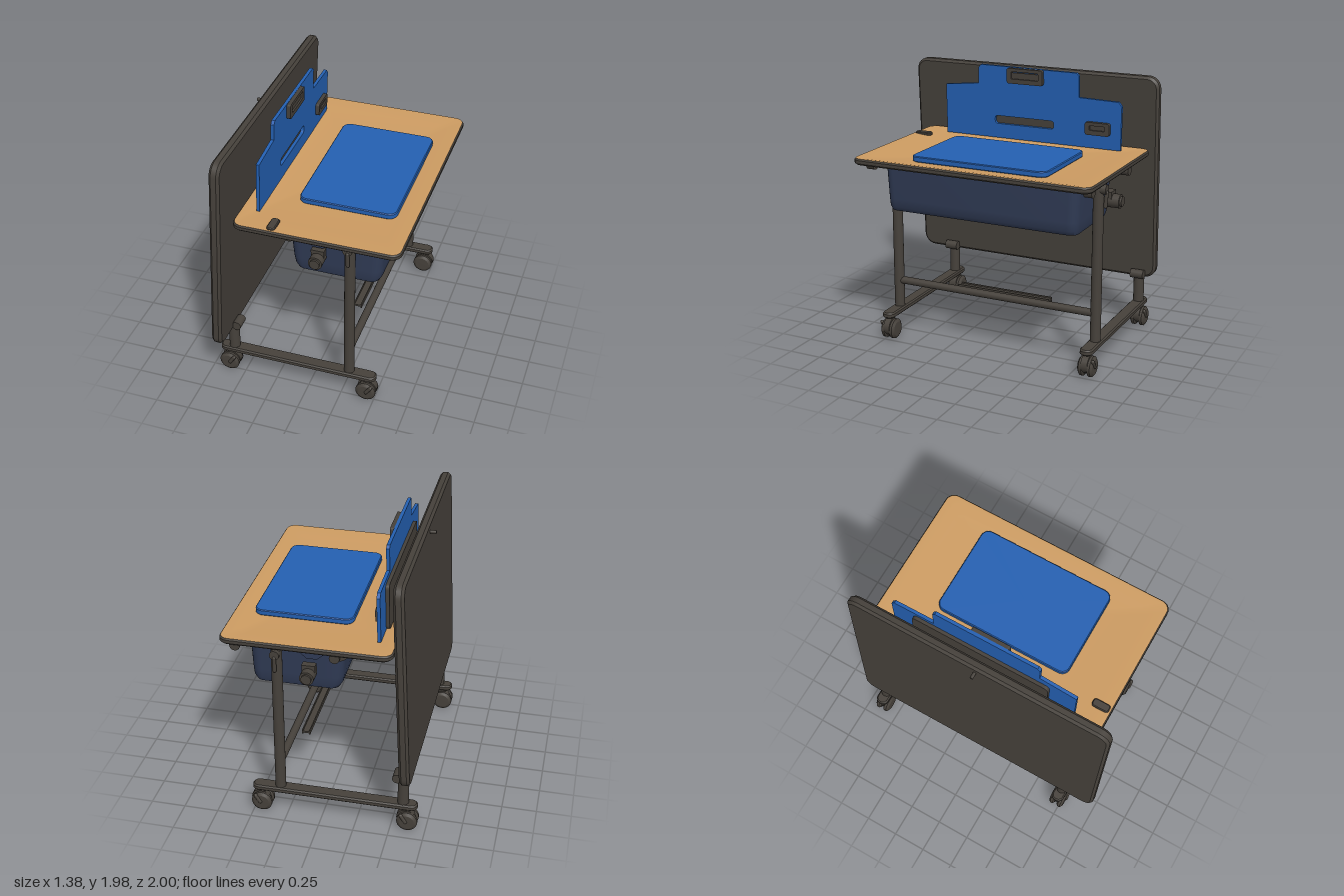
import * as THREE from 'three';
import { toCreasedNormals } from 'three/addons/utils/BufferGeometryUtils.js';

const mat = (name, color, side = THREE.FrontSide) => {
  const m = new THREE.MeshStandardMaterial({ color, side });
  m.name = name;
  return m;
};

// Stack of rounded rectangles [y, x0, x1, z0, z1, radius], joined into a skin
function loft(rings, capBottom = true, capTop = true, crease = 0.6) {
  const seg = 6, pos = [], idx = [], n = 4 * (seg + 1);
  for (const [y, x0, x1, z0, z1, r] of rings) {
    const corners = [[x1 - r, z0 + r], [x0 + r, z0 + r], [x0 + r, z1 - r], [x1 - r, z1 - r]];
    corners.forEach(([cx, cz], c) => {
      for (let i = 0; i <= seg; i++) {
        const a = (c + i / seg) * Math.PI / 2;
        pos.push(cx + r * Math.cos(a), y, cz - r * Math.sin(a));
      }
    });
  }
  for (let k = 0; k < rings.length - 1; k++) {
    for (let i = 0; i < n; i++) {
      const a = k * n + i, b = k * n + (i + 1) % n;
      idx.push(a, b, b + n, a, b + n, a + n);
    }
  }
  const cap = (k, up) => {
    const [y, x0, x1, z0, z1] = rings[k], c = pos.length / 3;
    pos.push((x0 + x1) / 2, y, (z0 + z1) / 2);
    for (let i = 0; i < n; i++) {
      const a = k * n + i, b = k * n + (i + 1) % n;
      if (up) idx.push(c, a, b); else idx.push(c, b, a);
    }
  };
  if (capBottom) cap(0, false);
  if (capTop) cap(rings.length - 1, true);
  const g = new THREE.BufferGeometry();
  g.setAttribute('position', new THREE.Float32BufferAttribute(pos, 3));
  g.setIndex(idx);
  return toCreasedNormals(g, crease);
}

// Flat slab with softened edges
const slab = (y0, y1, x0, x1, z0, z1, r, e) => loft([
  [y0, x0 + e, x1 - e, z0 + e, z1 - e, r - e], [y0 + e, x0, x1, z0, z1, r],
  [y1 - e, x0, x1, z0, z1, r], [y1, x0 + e, x1 - e, z0 + e, z1 - e, r - e]]);

const roundRect = (path, x0, x1, y0, y1, r) => {
  path.moveTo(x0 + r, y0);
  path.lineTo(x1 - r, y0); path.quadraticCurveTo(x1, y0, x1, y0 + r);
  path.lineTo(x1, y1 - r); path.quadraticCurveTo(x1, y1, x1 - r, y1);
  path.lineTo(x0 + r, y1); path.quadraticCurveTo(x0, y1, x0, y1 - r);
  path.lineTo(x0, y0 + r); path.quadraticCurveTo(x0, y0, x0 + r, y0);
  return path;
};

// Outline drawn in (-z, y), thickened toward +x
const plate = (shape, depth) =>
  new THREE.ExtrudeGeometry(shape, { depth, bevelEnabled: false }).rotateY(Math.PI / 2);

export function createModel() {
  const dark = mat('dark metal', 0x46413b);
  const wood = mat('tan wood', 0xcd9c62);
  const blue = mat('blue', 0x2460b2);
  const navy = mat('navy bin', 0x303b55);
  const model = new THREE.Group();
  const add = (name, geo, material, x = 0, y = 0, z = 0, parent = model) => {
    const m = new THREE.Mesh(geo, material);
    m.name = name;
    m.position.set(x, y, z);
    parent.add(m);
    return m;
  };
  const group = (name, x = 0, y = 0, z = 0) => {
    const g = new THREE.Group();
    g.name = name;
    g.position.set(x, y, z);
    model.add(g);
    return g;
  };
  const tube = (r, len, axis = 'y', sides = 20) => {
    const g = new THREE.CylinderGeometry(r, r, len, sides);
    return axis === 'z' ? g.rotateX(Math.PI / 2) : axis === 'x' ? g.rotateZ(Math.PI / 2) : g;
  };

  // Tilted privacy panel
  const panel = add('backPanel', slab(-0.037, 0.037, -0.78, 0.78, -1, 1, 0.09, 0.018), dark, -0.573, 1.188, 0);
  panel.rotation.z = Math.PI / 2 - 0.048;
  add('panelHook', tube(0.012, 0.05, 'x'), dark, -0.595, 1.905, 0);

  // Table top: dark edge with a shallow dished wooden surface
  const T = [-0.5, 0.69, -0.96, 0.87];
  const inset = (y, d, r) => [y, T[0] + d, T[1] - d, T[2] + d, T[3] - d, r];
  add('tableEdge', loft([inset(1.39, 0.012, 0.06), inset(1.402, 0, 0.07), inset(1.425, 0, 0.07),
    inset(1.436, 0.008, 0.065)], true, false), dark);
  add('tableSurface', loft([inset(1.436, 0.008, 0.065), inset(1.437, 0.03, 0.06),
    [1.424, -0.42, 0.57, -0.83, 0.72, 0.05]], false, true, 0.3), wood);
  add('deskMat', slab(1.424, 1.466, -0.155, 0.545, -0.58, 0.47, 0.06, 0.006), blue);
  add('tableClip', slab(1.425, 1.45, -0.25, -0.19, 0.72, 0.85, 0.02, 0.006), dark);

  // Storage bin under the table
  add('storageBin', loft([
    [1.02, -0.07, 0.46, -0.75, 0.65, 0.04], [1.028, -0.1, 0.49, -0.78, 0.68, 0.06],
    [1.06, -0.12, 0.508, -0.79, 0.69, 0.07], [1.12, -0.13, 0.513, -0.793, 0.693, 0.07],
    [1.392, -0.147, 0.522, -0.805, 0.705, 0.07]], true, true, 0.9), navy);

  // Standing blue folder
  const folder = group('folder', -0.39, 1.43, 0);
  folder.rotation.z = -0.03;
  const outline = new THREE.Shape([[-0.66, 0], [0.77, 0], [0.775, 0.33], [0.75, 0.362], [0.44, 0.37],
    [0.44, 0.53], [0.42, 0.55], [-0.36, 0.555], [-0.38, 0.53], [-0.38, 0.41], [-0.66, 0.38]]
    .map(p => new THREE.Vector2(...p)));
  outline.holes.push(roundRect(new THREE.Path(), -0.245, 0.24, 0.11, 0.172, 0.025));
  add('folderFront', plate(outline, 0.024), blue, 0, 0, 0, folder);
  add('folderBack', plate(roundRect(new THREE.Shape(), -0.46, 0.6, 0, 0.34, 0.04), 0.025), dark, -0.026, 0, 0, folder);
  const buckle = (name, u0, u1, y0, y1) => {
    const s = roundRect(new THREE.Shape(), u0, u1, y0, y1, 0.018);
    s.holes.push(roundRect(new THREE.Path(), u0 + 0.035, u1 - 0.035, y0 + 0.035, y1 - 0.025, 0.008));
    add(name, plate(s, 0.03), dark, 0.023, 0, 0, folder);
    add(name + 'Bar', new THREE.BoxGeometry(0.016, (y1 - y0) * 0.4, u1 - u0 - 0.04), dark,
      0.032, (y0 + y1) / 2, -(u0 + u1) / 2, folder);
  };
  buckle('topBuckle', -0.13, 0.16, 0.435, 0.55);
  buckle('sideBuckle', 0.5, 0.69, 0.105, 0.2);

  // Under-frame cross bars
  add('crossBar', tube(0.028, 1.59, 'z'), dark, 0.305, 0.42, -0.075);
  for (const s of [-1, 1]) {
    add('railFlange', new THREE.BoxGeometry(0.008, 0.034, 0.73), dark, 0.217 + s * 0.027, 0.42, -0.115);
  }
  add('railWeb', new THREE.BoxGeometry(0.05, 0.014, 0.73), dark, 0.217, 0.42, -0.115);

  // One side frame at each end; s points outward
  const bracket = new THREE.Shape([[-0.22, 1.395], [-0.07, 1.395], [-0.08, 1.35], [-0.12, 1.33], [-0.17, 1.35]]
    .map(p => new THREE.Vector2(...p)));
  const apron = new THREE.Shape([[-0.05, 1.395], [0.21, 1.395], [0.17, 1.32], [0.11, 1.27], [0.04, 1.27], [-0.02, 1.32]]
    .map(p => new THREE.Vector2(...p)));
  for (const [z, s, label] of [[0.725, 1, 'front'], [-0.87, -1, 'rear']]) {
    const f = group(label + 'SideFrame', 0, 0, z);
    add('footBar', slab(0.172, 0.215, -0.69, 0.51, -0.048, 0.048, 0.045, 0.01), dark, 0, 0, 0, f);
    add('leg', tube(0.038, 1.19), dark, 0.305, 0.795, 0, f);
    add('panelPost', tube(0.04, 0.24), dark, -0.585, 0.325, 0, f);
    add('panelKnob', tube(0.034, 0.1, 'z'), dark, -0.545, 0.44, 0, f);
    add('panelClamp', new THREE.BoxGeometry(0.08, 0.06, 0.07), dark, -0.585, 0.435, 0, f);

    // Height lever at the top of the leg
    add('leverHub', tube(0.034, 0.1, 'z'), dark, 0.305, 1.33, s * 0.012, f);
    const lever = add('lever', new THREE.CapsuleGeometry(0.014, 0.1, 4, 10), dark, 0.306, 1.26, s * 0.055, f);
    lever.rotation.x = s * 0.06;

    // Table brackets and pivots
    for (const [x, y] of [[-0.11, 1.365], [0.575, 1.378]]) {
      add('tablePivot', tube(0.036, 0.06, 'z'), dark, x, y, s * 0.04, f);
    }
    add('tableBracket', new THREE.ExtrudeGeometry(bracket, { depth: 0.02, bevelEnabled: false }), dark, 0, 0, s * 0.04 - 0.01, f);
    add('legBracket', new THREE.BoxGeometry(0.24, 0.025, 0.08), dark, 0.35, 1.38, 0, f);

    // Bin hanger with knob
    const inner = s > 0 ? -0.02 : 0.05;
    add('binApron', new THREE.ExtrudeGeometry(apron, { depth: 0.02, bevelEnabled: false }), navy, 0, 0, inner, f);
    add('binKnob', tube(0.05, 0.1, 'z'), dark, 0.08, 1.19, s * 0.03, f);
    add('binKnobTop', new THREE.BoxGeometry(0.094, 0.07, 0.05), dark, 0.08, 1.225, s * 0.0, f);
    add('binKnobCap', tube(0.036, 0.02, 'z'), dark, 0.08, 1.19, s * 0.085, f);

    // Twin-wheel casters
    for (const x of [-0.62, 0.44]) {
      for (const side of [-1, 1]) {
        const profile = [[0, -0.022], [0.06, -0.022], [0.075, -0.01], [0.075, 0.01], [0.055, 0.024], [0, 0.026]]
          .map(p => new THREE.Vector2(...p));
        const wheel = new THREE.LatheGeometry(profile, 24).rotateX(side * Math.PI / 2);
        add('casterWheel', toCreasedNormals(wheel, 0.5), dark, x, 0.076, side * 0.032, f);
      }
      add('casterHood', new THREE.CylinderGeometry(0.066, 0.066, 0.05, 20, 1, false).rotateX(Math.PI / 2),
        dark, x + 0.012, 0.095, 0, f);
      add('casterStem', tube(0.026, 0.08), dark, x, 0.15, 0, f);
      const brake = add('casterBrake', new THREE.CapsuleGeometry(0.014, 0.06, 4, 8), dark, x + 0.025, 0.105, s * 0.055, f);
      brake.rotation.z = -0.6;
    }
  }
  return model;
}
